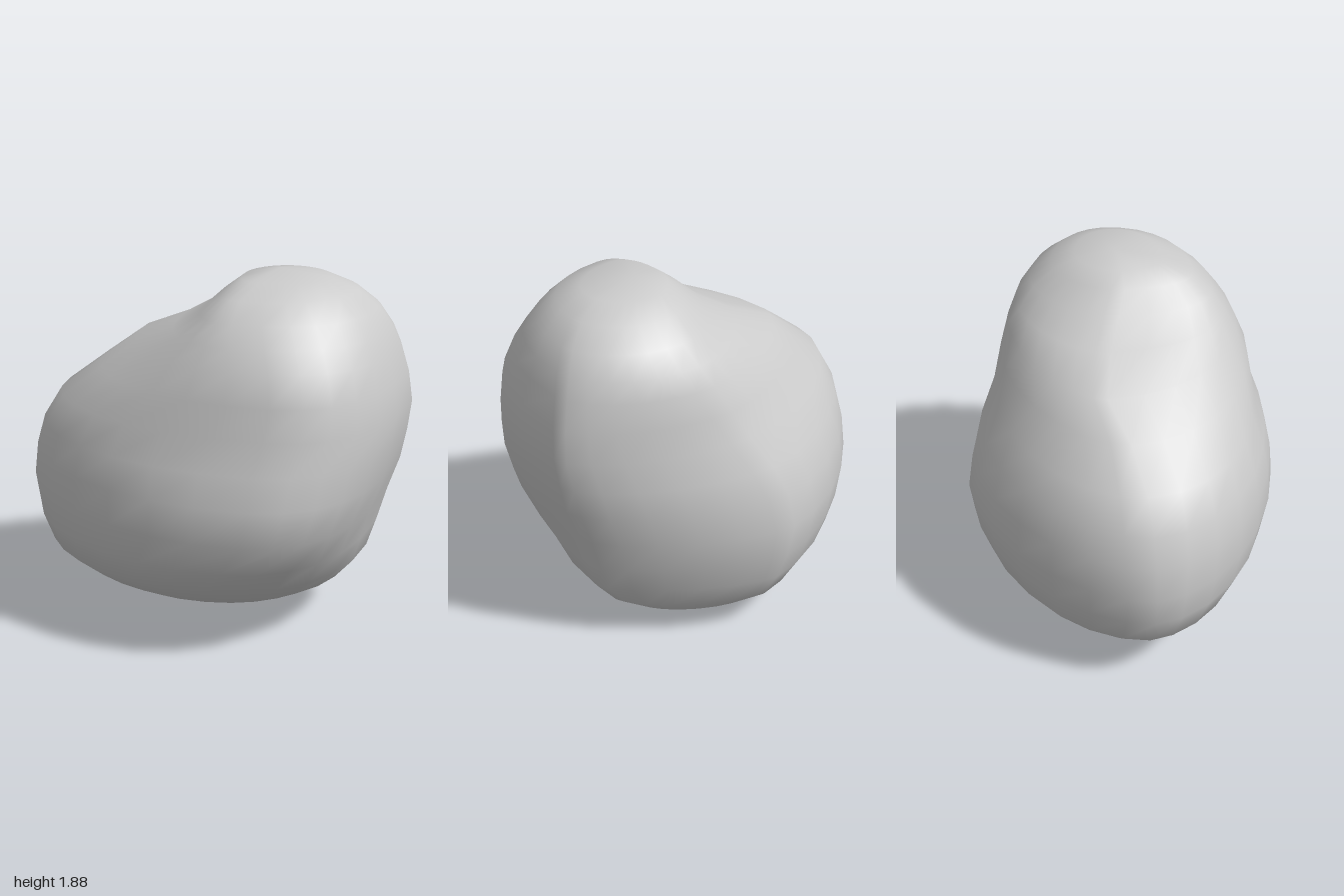
import * as THREE from 'three';

// Cross-sections from bottom to top:
// [y, left x, right x, back z, front z, x of back tip, x of front tip, z of left tip, z of right tip]
const SECTIONS = [
  [0.03, -0.42, 0.32, -0.42, 0.02, 0.12, -0.08, -0.14, -0.26],
  [0.10, -0.58, 0.50, -0.53, 0.25, 0.10, -0.12, -0.06, -0.24],
  [0.22, -0.77, 0.67, -0.68, 0.46, 0.06, -0.12, 0.00, -0.22],
  [0.36, -0.92, 0.78, -0.75, 0.65, 0.04, -0.08, 0.03, -0.21],
  [0.52, -0.97, 0.83, -0.80, 0.76, 0.02, 0.04, 0.05, -0.21],
  [0.70, -1.00, 0.88, -0.82, 0.82, 0.00, 0.15, 0.05, -0.21],
  [0.88, -0.97, 0.94, -0.79, 0.80, 0.02, 0.17, 0.05, -0.21],
  [1.04, -0.92, 0.97, -0.74, 0.76, 0.08, 0.18, 0.04, -0.21],
  [1.20, -0.82, 0.99, -0.66, 0.70, 0.16, 0.22, 0.02, -0.20],
  [1.36, -0.61, 0.97, -0.61, 0.68, 0.24, 0.28, -0.03, -0.18],
  [1.50, -0.42, 0.93, -0.56, 0.62, 0.31, 0.28, -0.12, -0.15],
  [1.60, -0.18, 0.89, -0.51, 0.56, 0.36, 0.26, -0.08, -0.12],
  [1.70, -0.01, 0.83, -0.43, 0.49, 0.39, 0.25, -0.02, -0.08],
  [1.79, 0.09, 0.73, -0.32, 0.39, 0.39, 0.26, 0.02, -0.03],
  [1.85, 0.17, 0.60, -0.20, 0.24, 0.37, 0.30, 0.02, 0.00],
];

// Fullness of each quarter by height: [y, front right, front left, back right, back left]
const FULLNESS = [
  [0.0, 2.0, 1.8, 1.4, 1.7],
  [0.36, 2.3, 1.8, 1.28, 1.7],
  [0.7, 2.8, 1.8, 1.42, 1.65],
  [1.2, 2.7, 2.1, 1.5, 1.8],
  [1.45, 2.5, 2.0, 1.7, 1.6],
  [1.7, 2.2, 2.6, 1.9, 1.7],
  [1.9, 2.0, 2.6, 2.0, 1.9],
];
const SEGMENTS = 28;

function fullnessAt(y, quarter) {
  const k = FULLNESS.findIndex((row) => row[0] > y);
  const lo = FULLNESS[k - 1], hi = FULLNESS[k];
  return THREE.MathUtils.mapLinear(y, lo[0], hi[0], lo[quarter], hi[quarter]);
}

// One point on a section: a rounded quarter between two neighbouring tips
function sectionPoint([y, x0, x1, z0, z1, backX, frontX, leftZ, rightZ], angle) {
  const c = Math.cos(angle), s = Math.sin(angle);
  const front = s >= 0, right = c >= 0;
  const n = fullnessAt(y, (front ? 1 : 3) + (right ? 0 : 1));
  const u = Math.pow(Math.abs(c), 2 / n), v = Math.pow(Math.abs(s), 2 / n);
  const cx = front ? frontX : backX, cz = right ? rightZ : leftZ;
  return [
    cx + u * ((right ? x1 : x0) - cx),
    y,
    cz + v * ((front ? z1 : z0) - cz),
  ];
}

function buildRock() {
  const positions = [], indices = [];
  for (const section of SECTIONS) {
    for (let i = 0; i < SEGMENTS; i++) {
      positions.push(...sectionPoint(section, (i / SEGMENTS) * Math.PI * 2));
    }
  }
  const rings = SECTIONS.length;
  const bottom = rings * SEGMENTS, top = bottom + 1;
  positions.push(0.13, 0, -0.31, 0.34, 1.88, 0);

  // Skin between sections, closed by fans at both ends
  for (let i = 0; i < SEGMENTS; i++) {
    const j = (i + 1) % SEGMENTS;
    for (let r = 0; r < rings - 1; r++) {
      const a = r * SEGMENTS + i, b = r * SEGMENTS + j;
      indices.push(a, a + SEGMENTS, b, b, a + SEGMENTS, b + SEGMENTS);
    }
    const last = (rings - 1) * SEGMENTS;
    indices.push(bottom, i, j, top, last + j, last + i);
  }

  const geometry = new THREE.BufferGeometry();
  geometry.setAttribute('position', new THREE.Float32BufferAttribute(positions, 3));
  geometry.setIndex(indices);
  geometry.computeVertexNormals();
  return geometry;
}

export function createModel() {
  const group = new THREE.Group();
  group.name = 'rock';
  const boulder = new THREE.Mesh(buildRock(), new THREE.MeshStandardMaterial({ color: 0xcccccc }));
  boulder.name = 'boulder';
  group.add(boulder);
  return group;
}
